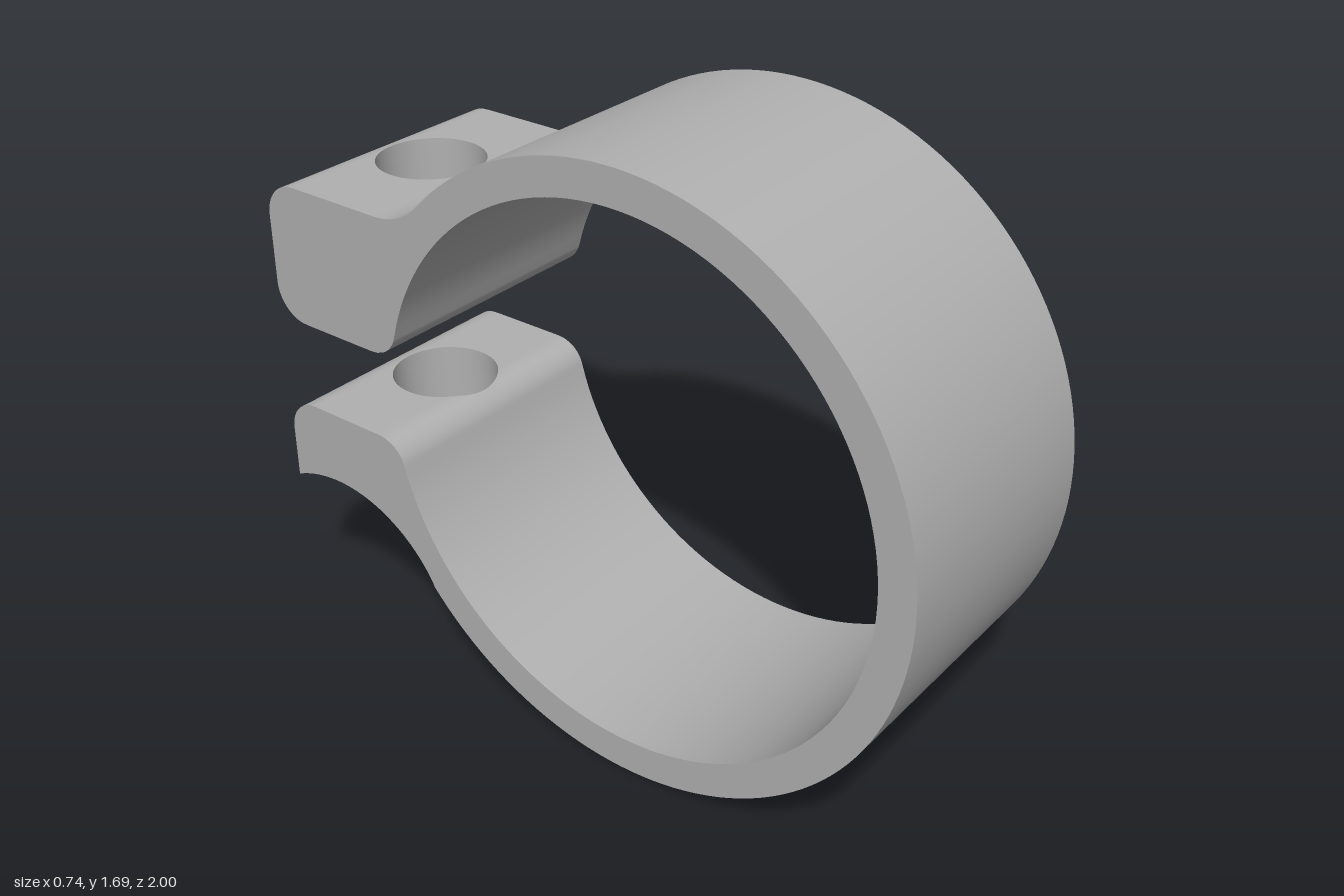
import * as THREE from 'three';
import { toCreasedNormals } from 'three/addons/utils/BufferGeometryUtils.js';

// Profiles are drawn in (u, y) with u = -z, extruded across the width, then turned.
const HALF = 0.37, MID = 0.843, RING_U = -0.157;
const CUT_A = 0.605, CUT_B = 0.915;      // span of each lug that holds the bolt hole
const HOLE_U = 0.76, HOLE_R = 0.15;
const DEG = Math.PI / 180;

const root = (r, d) => Math.sqrt(Math.max(0, r * r - d * d));

// Heights of the lug surfaces along u
const upperTop = u => u < 0.6 ? 1.575 - root(0.21, u - 0.6)
  : u > 0.9 ? 1.265 + root(0.1, u - 0.9) : 1.365;
const upperGap = u => u < 0.65 ? 1.061 - root(0.091, u - 0.65)
  : u > 0.9 ? 1.07 - root(0.1, u - 0.9) : 0.97;
const lowerGap = u => 2 * MID - upperGap(u);
const lowerBottom = u => 0.1 + root(0.4, u - 0.83);

// Points on an arc, angles in degrees
function arc(cx, cy, r, a0, a1, n) {
  return Array.from({ length: n + 1 }, (_, i) => {
    const a = (a0 + (a1 - a0) * i / n) * DEG;
    return new THREE.Vector2(cx + r * Math.cos(a), cy + r * Math.sin(a));
  });
}

function extrude(points) {
  const geo = new THREE.ExtrudeGeometry(new THREE.Shape(points), {
    depth: 2 * HALF, bevelEnabled: false, steps: 1,
  });
  geo.translate(0, 0, -HALF);
  geo.rotateY(Math.PI / 2);
  return toCreasedNormals(geo, 0.45);
}

// Open band with the fillets running into both lugs
function bandGeometry() {
  return extrude([
    new THREE.Vector2(CUT_A, 1.365),
    ...arc(0.6, 1.575, 0.21, -90, -135.96, 12),
    ...arc(RING_U, MID, 0.843, 44.04, 319.1, 110).slice(1),
    ...arc(0.83, 0.1, 0.4, 151, 124.2, 10).slice(1),
    ...arc(0.65, 0.625, 0.091, 119.6, 164.9, 10),
    ...arc(RING_U, MID, 0.745, 344.9, 15.1, 120).slice(1),
    ...arc(0.65, 1.061, 0.091, 195.1, 240.4, 10).slice(1),
  ]);
}

// Rounded outer end of a lug
function lugEndGeometry(top, bottom) {
  const us = Array.from({ length: 15 }, (_, i) =>
    CUT_B + (1 - CUT_B) * Math.sin(i / 14 * Math.PI / 2));
  const upper = us.map(u => new THREE.Vector2(u, top(u)));
  const lower = us.map(u => new THREE.Vector2(u, bottom(u))).reverse();
  return extrude([...lower, ...upper]);
}

// Drilled lug block: loops run out over the top, in under the bottom, back up the hole
function lugBlockGeometry(top, bottom) {
  const hu0 = HOLE_U - CUT_A, hu1 = CUT_B - HOLE_U;
  const c = Math.atan2(HALF, hu1) / DEG, d = Math.atan2(HALF, -hu0) / DEG;
  const corners = [-c, c, d, 360 - d, 360 - c], counts = [28, 14, 28, 14];
  const angles = [];
  counts.forEach((n, s) => {
    for (let i = 0; i < n; i++) {
      angles.push((corners[s] + (corners[s + 1] - corners[s]) * i / n) * DEG);
    }
  });
  const RINGS = 8, rows = [];
  for (let k = 0; k <= RINGS; k++) rows.push([k / RINGS, top]);
  for (let k = RINGS; k >= 0; k--) rows.push([k / RINGS, bottom]);

  const pos = [], index = [], n = angles.length;
  for (const [t, height] of rows) {
    for (const a of angles) {
      const cu = Math.cos(a), sw = Math.sin(a);
      const reach = Math.min((cu > 0 ? hu1 : hu0) / Math.max(1e-6, Math.abs(cu)),
        HALF / Math.max(1e-6, Math.abs(sw)));
      const r = HOLE_R + (reach - HOLE_R) * t;
      const u = HOLE_U + r * cu;
      pos.push(u, height(u), r * sw);
    }
  }
  rows.forEach((_, j) => {
    const j2 = (j + 1) % rows.length;
    for (let i = 0; i < n; i++) {
      const i2 = (i + 1) % n;
      const p = j * n + i, q = j * n + i2, s = j2 * n + i, v = j2 * n + i2;
      index.push(p, q, s, q, v, s);
    }
  });
  const geo = new THREE.BufferGeometry();
  geo.setAttribute('position', new THREE.Float32BufferAttribute(pos, 3));
  geo.setIndex(index);
  geo.rotateY(Math.PI / 2);
  return toCreasedNormals(geo, 0.6);
}

export function createModel() {
  const metal = new THREE.MeshStandardMaterial({ color: 0xb0b0b0 });
  metal.name = 'grey metal';
  const model = new THREE.Group();
  model.name = 'pipeClamp';
  const add = (parent, name, geo) => {
    const mesh = new THREE.Mesh(geo, metal);
    mesh.name = name;
    parent.add(mesh);
  };

  add(model, 'clampBand', bandGeometry());
  for (const [name, top, bottom] of [
    ['upperLug', upperTop, upperGap],
    ['lowerLug', lowerGap, lowerBottom],
  ]) {
    const lug = new THREE.Group();
    lug.name = name;
    add(lug, name + 'Block', lugBlockGeometry(top, bottom));
    add(lug, name + 'End', lugEndGeometry(top, bottom));
    model.add(lug);
  }
  return model;
}
